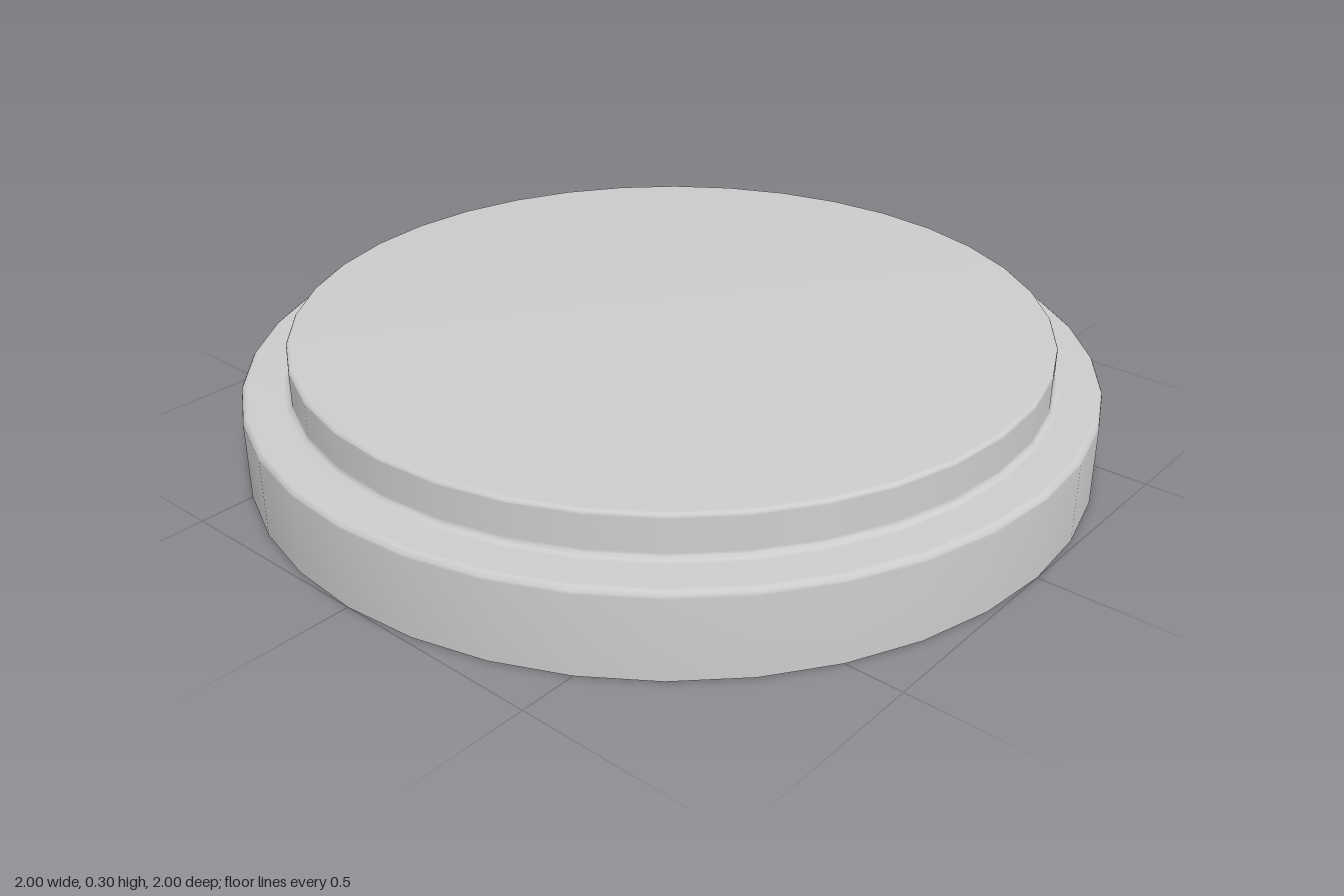
import * as THREE from 'three';
import { toCreasedNormals } from 'three/addons/utils/BufferGeometryUtils.js';

// Rounded corner: points on an arc from angle a to b around (cx, cy)
function arc(cx, cy, r, a, b, steps = 4) {
  const points = [];
  for (let i = 0; i <= steps; i++) {
    const t = a + (b - a) * i / steps;
    points.push(new THREE.Vector2(cx + r * Math.cos(t), cy + r * Math.sin(t)));
  }
  return points;
}

export function createModel() {
  const group = new THREE.Group();
  group.name = 'steppedDisc';
  const p = (x, y) => new THREE.Vector2(x, y);
  const quarter = Math.PI / 2;

  // Half section from the underside centre to the top centre; the extra
  // points beside each rounded corner keep the flat faces evenly shaded
  const profile = [
    p(0, 0), p(1, 0), p(1, 0.183),
    ...arc(0.985, 0.185, 0.015, 0, quarter),      // rim edge
    p(0.983, 0.2), p(0.907, 0.2),
    ...arc(0.905, 0.215, 0.015, -quarter, -2 * quarter), // fillet at the step
    p(0.89, 0.217), p(0.89, 0.288),
    ...arc(0.88, 0.29, 0.01, 0, quarter),         // upper edge
    p(0.878, 0.3), p(0, 0.3),
  ];

  const geometry = toCreasedNormals(new THREE.LatheGeometry(profile, 36), 0.6);
  const disc = new THREE.Mesh(geometry, new THREE.MeshStandardMaterial({ color: 0xcccccc }));
  disc.name = 'discBase';
  group.add(disc);
  return group;
}
